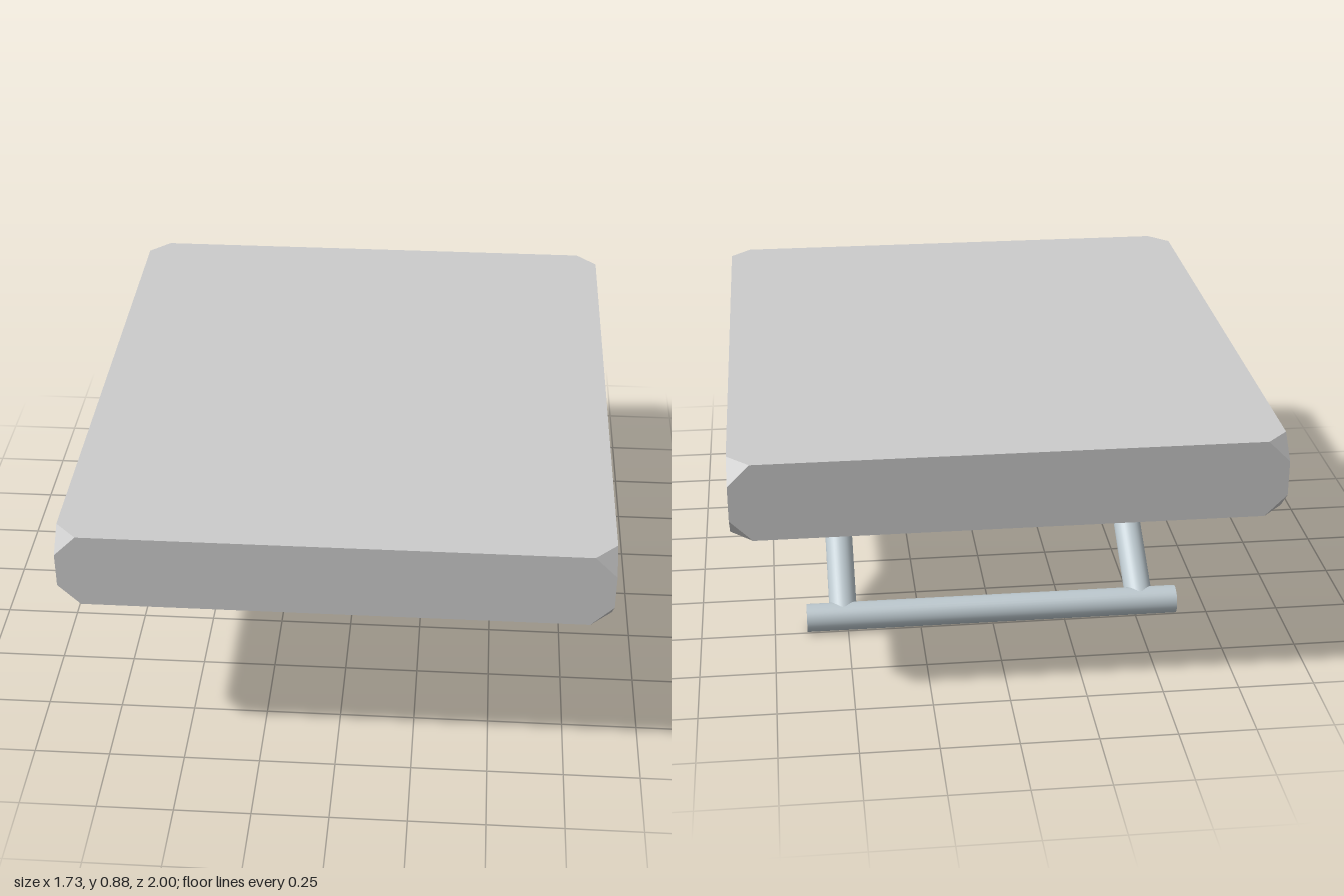
import * as THREE from 'three';
import { ConvexGeometry } from 'three/addons/geometries/ConvexGeometry.js';

// Box whose eight corners are cut off diagonally, edges left sharp
function cutCornerBox(w, h, d, cut) {
  const half = [w / 2, h / 2, d / 2];
  const points = [];
  for (const sx of [-1, 1]) for (const sy of [-1, 1]) for (const sz of [-1, 1]) {
    for (let axis = 0; axis < 3; axis++) {
      const p = [sx * half[0], sy * half[1], sz * half[2]];
      p[axis] -= Math.sign(p[axis]) * cut;
      points.push(new THREE.Vector3(...p));
    }
  }
  return new ConvexGeometry(points);
}

// Round rod between two points
function rod(name, a, b, radius, material) {
  const dir = b.clone().sub(a);
  const mesh = new THREE.Mesh(new THREE.CylinderGeometry(radius, radius, dir.length(), 32), material);
  mesh.position.copy(a).add(b).multiplyScalar(0.5);
  mesh.quaternion.setFromUnitVectors(new THREE.Vector3(0, 1, 0), dir.normalize());
  mesh.name = name;
  return mesh;
}

export function createModel() {
  const model = new THREE.Group();
  model.name = 'paddedBoard';
  const padMat = new THREE.MeshStandardMaterial({ color: 0xd2d6d6, flatShading: true });
  const plateMat = new THREE.MeshStandardMaterial({ color: 0x647782, flatShading: true });
  const rodMat = new THREE.MeshStandardMaterial({ color: 0xbcc8ce });

  // Thick pad on top
  const pad = new THREE.Mesh(cutCornerBox(1.73, 0.255, 2, 0.07), padMat);
  pad.name = 'pad';
  pad.position.y = 0.7525;
  model.add(pad);

  // Backing plate, sunk a little into the pad
  const plate = new THREE.Mesh(cutCornerBox(1.55, 0.1, 1.82, 0.035), plateMat);
  plate.name = 'backingPlate';
  plate.position.y = 0.63;
  model.add(plate);

  // Slanted legs joined by a crossbar at the foot
  const r = 0.047, footY = 0.049, footZ = -0.48;
  for (const [name, x] of [['leftLeg', 0.515], ['rightLeg', -0.515]]) {
    model.add(rod(name, new THREE.Vector3(x, footY, footZ), new THREE.Vector3(x, 0.63, 0.465), r, rodMat));
  }
  model.add(rod('crossbar', new THREE.Vector3(-0.64, footY, footZ), new THREE.Vector3(0.64, footY, footZ), 0.048, rodMat));

  return model;
}
